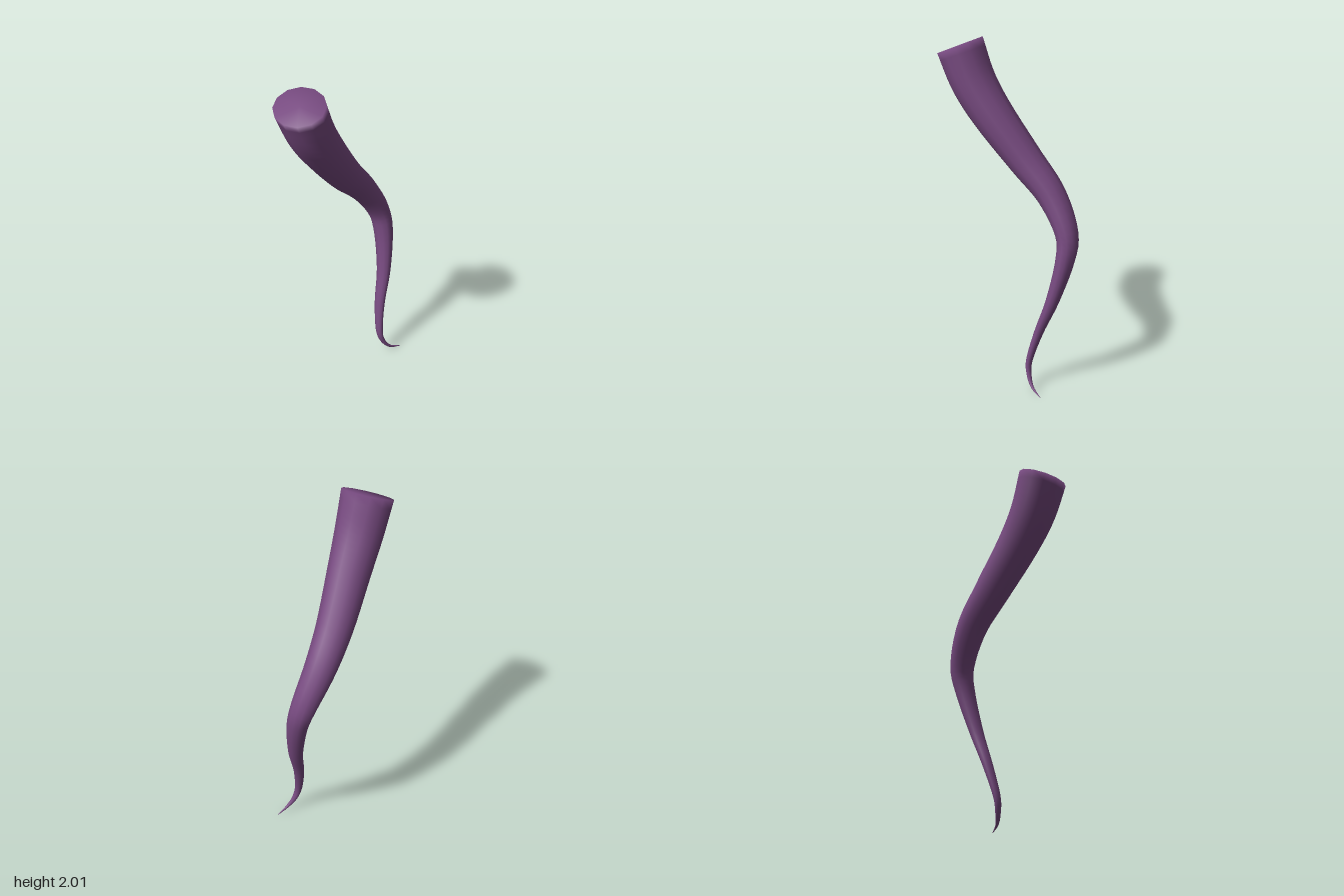
import * as THREE from 'three';

const SIDES = 12, RINGS = 55;

// Stations from the thick end to the tip: x, y, z, radius, radius along z
const STATIONS = [
  [-0.325, 1.957, -0.025, 0.128, 0.151],
  [-0.24, 1.765, -0.026, 0.123, 0.138],
  [-0.12, 1.587, -0.039, 0.115, 0.123],
  [0.074, 1.35, -0.07, 0.098, 0.106],
  [0.24, 1.17, -0.08, 0.081, 0.092],
  [0.362, 0.973, -0.049, 0.063, 0.075],
  [0.376, 0.815, -0.01, 0.052, 0.062],
  [0.328, 0.57, 0.038, 0.037, 0.045],
  [0.26, 0.365, 0.066, 0.026, 0.034],
  [0.218, 0.18, 0.1, 0.018, 0.024],
  [0.231, 0.09, 0.122, 0.013, 0.017],
  [0.272, 0.033, 0.15, 0.008, 0.009],
  [0.34, 0.003, 0.176, 0.001, 0.001],
];

const spline = (pick) => new THREE.CatmullRomCurve3(
  STATIONS.map((s) => new THREE.Vector3(...pick(s))), false, 'catmullrom', 0.5);

// Tapered tube with an oval section swept along the spine
function taperedTube() {
  const spine = spline((s) => s.slice(0, 3));
  const radii = spline((s) => [s[3], s[4], 0]);
  const pos = [], index = [];
  for (let i = 0; i <= RINGS; i++) {
    const t = i / RINGS;
    const p = spine.getPoint(t), r = radii.getPoint(t), dir = spine.getTangent(t);
    const across = new THREE.Vector3(0, 0, 1).addScaledVector(dir, -dir.z).normalize();
    const inPlane = new THREE.Vector3().crossVectors(dir, across);
    for (let j = 0; j < SIDES; j++) {
      const a = (j / SIDES) * Math.PI * 2;
      const v = p.clone()
        .addScaledVector(across, Math.cos(a) * r.y)
        .addScaledVector(inPlane, Math.sin(a) * r.x);
      pos.push(v.x, v.y, v.z);
    }
  }
  for (let i = 0; i < RINGS; i++) {
    for (let j = 0; j < SIDES; j++) {
      const k = (j + 1) % SIDES;
      const a = i * SIDES + j, b = i * SIDES + k, c = a + SIDES, d = b + SIDES;
      index.push(a, b, c, b, d, c);
    }
  }
  // Close both ends, sharing the rim so the shading rolls over it
  const start = pos.length / 3, last = RINGS * SIDES;
  const p0 = spine.getPoint(0), p1 = spine.getPoint(1);
  pos.push(p0.x, p0.y, p0.z, p1.x, p1.y, p1.z);
  for (let j = 0; j < SIDES; j++) {
    const k = (j + 1) % SIDES;
    index.push(start, k, j, start + 1, last + j, last + k);
  }
  const g = new THREE.BufferGeometry();
  g.setAttribute('position', new THREE.Float32BufferAttribute(pos, 3));
  g.setIndex(index);
  g.computeVertexNormals();
  return g;
}

export function createModel() {
  const group = new THREE.Group();
  const tentacle = new THREE.Mesh(taperedTube(),
    new THREE.MeshStandardMaterial({ color: 0x774a80 }));
  tentacle.name = 'tentacle';
  group.add(tentacle);
  return group;
}
